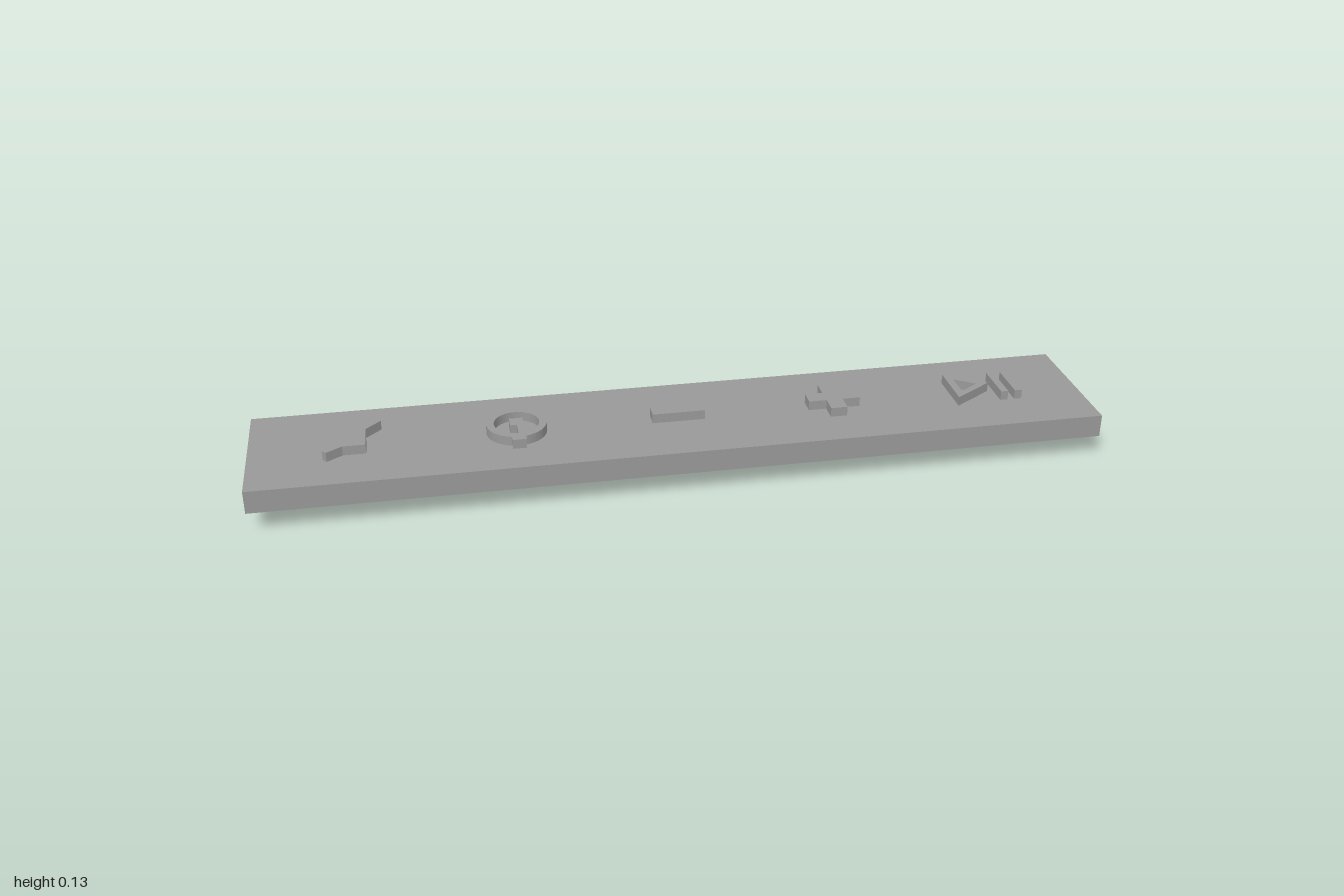
import * as THREE from 'three';

const PLATE_BOTTOM = 0.055, PLATE_TOP = 0.11, ICON_HEIGHT = 0.023;

export function createModel() {
  const model = new THREE.Group();
  const grey = new THREE.MeshStandardMaterial({ color: 0x999999 });
  grey.name = 'grey';

  const add = (parent, name, geometry, x = 0, y = 0, z = 0) => {
    const mesh = new THREE.Mesh(geometry, grey);
    mesh.name = name;
    mesh.position.set(x, y, z);
    parent.add(mesh);
    return mesh;
  };
  const icon = (name, x) => {
    const group = new THREE.Group();
    group.name = name;
    group.position.set(x, PLATE_TOP, 0);
    model.add(group);
    return group;
  };
  // Outlines are drawn as seen from above: [x, z], with z towards the front
  const outline = (points) => points.map(([x, z]) => new THREE.Vector2(x, -z));
  const raise = (shape) => new THREE.ExtrudeGeometry(shape,
    { depth: ICON_HEIGHT, bevelEnabled: false, curveSegments: 32 }).rotateX(-Math.PI / 2);
  const bar = (parent, name, x, z, w, d) =>
    add(parent, name, new THREE.BoxGeometry(w, ICON_HEIGHT, d), x, ICON_HEIGHT / 2, z);

  // Plate
  add(model, 'plate', new THREE.BoxGeometry(2, PLATE_TOP - PLATE_BOTTOM, 0.35),
    0, (PLATE_TOP + PLATE_BOTTOM) / 2);

  // Round pegs underneath
  for (let i = -2; i <= 2; i++) {
    add(model, 'peg', new THREE.CylinderGeometry(0.058, 0.058, PLATE_BOTTOM, 40),
      i * 0.381, PLATE_BOTTOM / 2);
  }

  // Square with two slanted wings
  const winged = icon('wingedSquareIcon', -0.762);
  add(winged, 'wingedSquare', raise(new THREE.Shape(outline([
    [-0.035, -0.046], [0.022, -0.046], [0.058, -0.086 + 0.016], [0.067, -0.066],
    [0.031, -0.03], [0.031, 0.046], [-0.022, 0.046], [-0.058, 0.07],
    [-0.067, 0.06], [-0.035, 0.022],
  ]))));

  // Ring with a hooked stem that breaks through its front edge
  const power = icon('ringIcon', -0.383);
  const ring = new THREE.Shape().absarc(0, 0, 0.071, 0, Math.PI * 2);
  ring.holes.push(new THREE.Path().absarc(0, 0, 0.053, 0, Math.PI * 2, true));
  add(power, 'ring', raise(ring));
  add(power, 'stem', raise(new THREE.Shape(outline([
    [-0.016, -0.022], [0.016, -0.022], [0.016, 0.085], [-0.016, 0.085],
    [-0.016, 0.052], [0, 0.052], [0, 0.012], [-0.016, 0.012],
  ]))));

  // Minus
  bar(icon('minusIcon', 0), 'minusBar', 0, 0, 0.126, 0.038);

  // Plus
  const plus = icon('plusIcon', 0.381), a = 0.02, b = 0.063;
  add(plus, 'plus', raise(new THREE.Shape(outline([
    [-a, -b], [a, -b], [a, -a], [b, -a], [b, a], [a, a],
    [a, b], [-a, b], [-a, a], [-b, a], [-b, -a], [-a, -a],
  ]))));

  // Hollow triangle with two bars
  const play = icon('playPauseIcon', 0.762);
  const triangle = new THREE.Shape(outline([[-0.082, -0.063], [0.014, 0], [-0.082, 0.063]]));
  triangle.holes.push(new THREE.Path(outline([[-0.064, -0.032], [-0.064, 0.032], [-0.016, 0]])));
  add(play, 'triangle', raise(triangle));
  for (const x of [0.038, 0.073]) bar(play, 'pauseBar', x, 0, 0.018, 0.104);

  return model;
}
